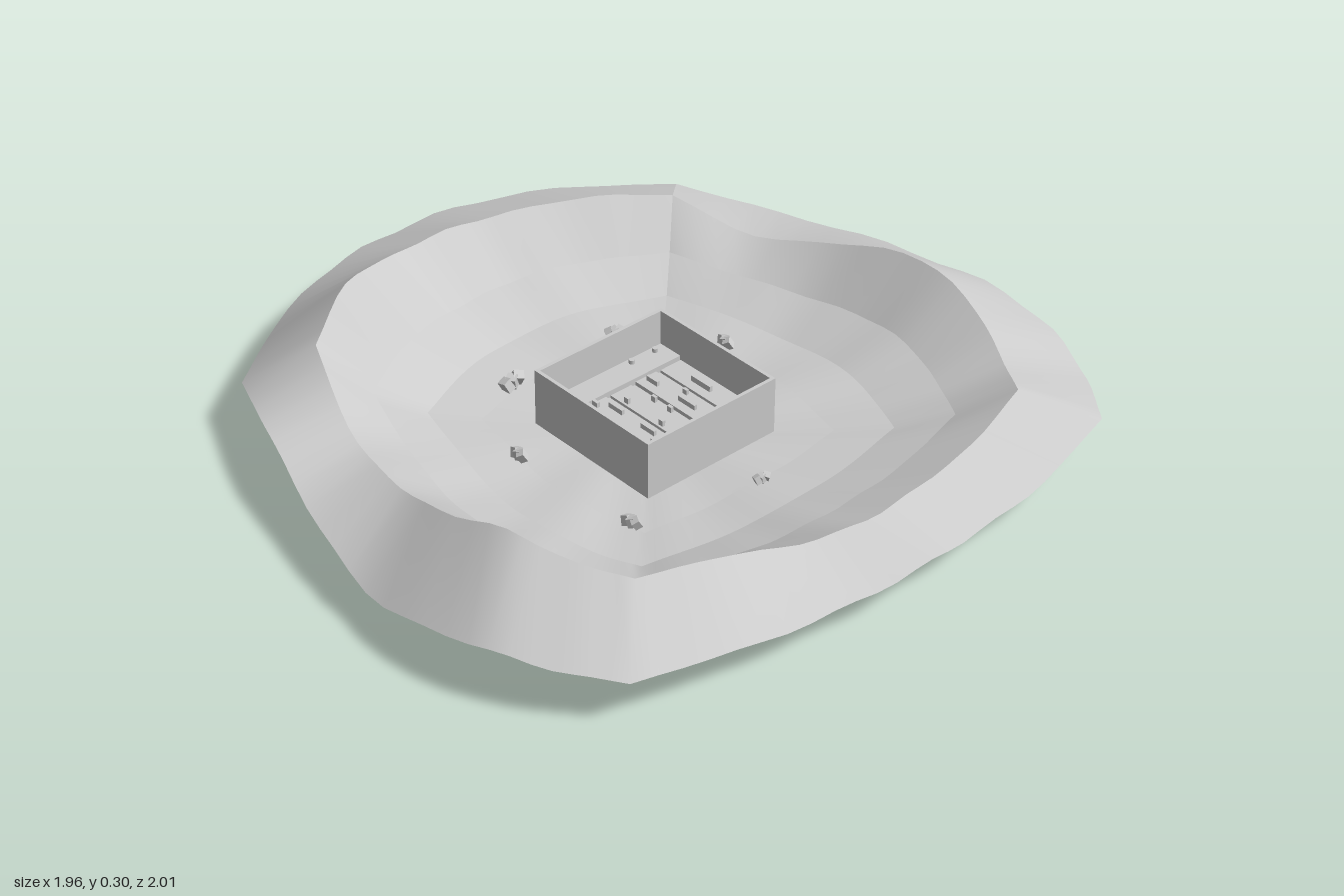
import * as THREE from 'three';

// Box footprint in the middle of the basin
const X0 = -0.15, X1 = 0.275, Z0 = -0.215, Z1 = 0.21;
const CX = (X0 + X1) / 2, CZ = (Z0 + Z1) / 2;

// Four sides of the rim: [x, z, ridge height, outer edge height]
const SIDES = [
  [[-.53, -.6, .2, .12], [-.3, -.69, .14, .11], [-.05, -.77, .2, .12], [.2, -.81, .25, .12],
    [.42, -.785, .21, .11], [.58, -.72, .16, .1], [.7, -.64, .18, .1]],
  [[.7, -.64, .18, .1], [.755, -.42, .15, .08], [.79, -.2, .15, .09], [.81, 0, .16, .1],
    [.79, .2, .18, .1], [.755, .42, .235, .11], [.7, .63, .25, .12]],
  [[.7, .63, .25, .12], [.58, .71, .27, .14], [.42, .77, .3, .14], [.2, .79, .24, .1],
    [-.05, .75, .18, .12], [-.3, .68, .16, .15], [-.53, .6, .25, .13]],
  [[-.53, .6, .25, .13], [-.64, .42, .3, .13], [-.73, .2, .25, .13], [-.76, 0, .23, .13],
    [-.73, -.2, .22, .13], [-.64, -.42, .22, .13], [-.53, -.6, .2, .12]],
];
const CORNERS = [[X0, Z0], [X1, Z0], [X1, Z1], [X0, Z1], [X0, Z0]];
// Change of skirt width at the middle of each side
const SKIRT_BULGE = [-0.02, -0.045, 0.012, 0.01];

// Radial cross-sections: from the box out to the ridge, then down to the outer edge
function crossSections(steps) {
  return SIDES.flatMap((pts, s) => {
    const ridge = new THREE.CatmullRomCurve3(pts.map(([x, z, y]) => new THREE.Vector3(x, y, z)));
    const edge = new THREE.CatmullRomCurve3(pts.map(([x, z, , y]) => new THREE.Vector3(x, y, z)));
    const [a, b] = [CORNERS[s], CORNERS[s + 1]];
    return Array.from({ length: steps + (s === 3 ? 1 : 0) }, (_, i) => {
      const t = i / steps, r = ridge.getPoint(t), e = edge.getPoint(t);
      const ix = a[0] + (b[0] - a[0]) * t, iz = a[1] + (b[1] - a[1]) * t;
      const bow = Math.sin(t * Math.PI);
      const wave = 0.006 * Math.sin(t * Math.PI * 4 + s * 1.7) * bow;
      const ripple = 0.006 * Math.sin(t * Math.PI * 11 + s) * bow;
      return [
        [0, 0.028], [0.25, 0.037 + wave], [0.5, 0.052 + wave],
        [0.75, 0.105 + (r.y - 0.21) * 0.2 + wave + ripple * 0.5],
        [1, r.y + ripple * 0.6], [1.355 + SKIRT_BULGE[s] * bow, e.y + wave - ripple],
      ].map(([f, y]) => [ix + (r.x - ix) * f, y, iz + (r.z - iz) * f]);
    });
  });
}

// One terrain band between two neighbouring rings, smooth along its length
function bandGeometry(sections, k) {
  const index = [];
  for (let c = 0; c < sections.length - 1; c++) {
    const p = c * 2;
    index.push(p, p + 2, p + 1, p + 2, p + 3, p + 1);
  }
  const g = new THREE.BufferGeometry();
  const pos = sections.flatMap((ring) => [...ring[k], ...ring[k + 1]]);
  g.setAttribute('position', new THREE.Float32BufferAttribute(pos, 3));
  g.setIndex(index.reverse());
  g.computeVertexNormals();
  return g;
}

export function createModel() {
  const grey = new THREE.MeshStandardMaterial({ color: 0xcccccc, side: THREE.DoubleSide });
  grey.name = 'paleGrey';
  const model = new THREE.Group();
  const add = (name, geo, x = 0, y = 0, z = 0, parent = model) => {
    const m = new THREE.Mesh(geo, grey);
    m.name = name;
    m.position.set(x, y, z);
    parent.add(m);
    return m;
  };
  const box = (name, w, h, d, x, y, z, parent) =>
    add(name, new THREE.BoxGeometry(w, h, d), x, y, z, parent);

  // Basin terrain
  const sections = crossSections(24);
  ['innerGround', 'outerGround', 'lowerSlope', 'upperSlope', 'outerSkirt']
    .forEach((name, k) => add(name, bandGeometry(sections, k)));

  // Square enclosure, open above and below
  const T = 0.01, H = 0.19;
  for (const s of [-1, 1]) {
    box('enclosureWall', X1 - X0, H, T, CX, H / 2, CZ + s * ((Z1 - Z0 - T) / 2));
    box('enclosureWall', T, H, Z1 - Z0 - 2 * T, CX + s * ((X1 - X0 - T) / 2), H / 2, CZ);
  }

  // Floor with a raised strip along each side
  box('floor', X1 - X0 - 0.02, 0.01, Z1 - Z0 - 0.02, CX, 0.065, CZ);
  for (const s of [-1, 1]) {
    box('sideLedge', 0.075, 0.02, Z1 - Z0 - 0.02, CX + s * 0.165, 0.08, CZ);
    for (const z of [-0.17, -0.09])
      add('ledgePeg', new THREE.CylinderGeometry(0.008, 0.008, 0.012, 8), CX + s * 0.185, 0.095, z);
  }

  // Shallow steps across the middle, with small loose pieces
  [-0.17, -0.085, 0, 0.085, 0.16].forEach((z, i) => {
    box('step', 0.25, 0.008 + 0.006 * (i % 2), 0.07, CX, 0.074, z);
  });
  for (const [x, z, w] of [[.06, -.165, .07], [.06, -.11, .015], [-.03, -.08, .04], [.1, -.08, .06],
    [.03, -.03, .015], [.09, -.03, .015], [-.01, .025, .015], [.12, .025, .015], [0, .07, .05],
    [.12, .07, .05], [-.05, .095, .02], [.17, .095, .02]])
    box('loosePiece', w, 0.016, 0.009, x, 0.087, z);

  // Rock clusters around the enclosure
  for (const [x, z, a, size] of [[-.065, -.365, 0, 1], [-.29, -.18, 1.2, 1], [-.295, .165, 1.9, 1.25],
    [-.04, .355, .1, 1], [.35, .33, .4, 1], [.43, -.025, 1.5, .8]]) {
    const g = new THREE.Group();
    g.name = 'rockCluster';
    g.position.set(x, 0.062, z);
    g.rotation.y = a;
    g.scale.setScalar(size);
    for (const s of [-1, 0, 1]) {
      const rock = box('rock', 0.02, 0.026, 0.022, s * 0.014, s * 0.003, 0.004 * s, g);
      rock.rotation.set(0.3 * s, 0.5 * s + 0.2, 0.3);
    }
    model.add(g);
  }
  return model;
}
